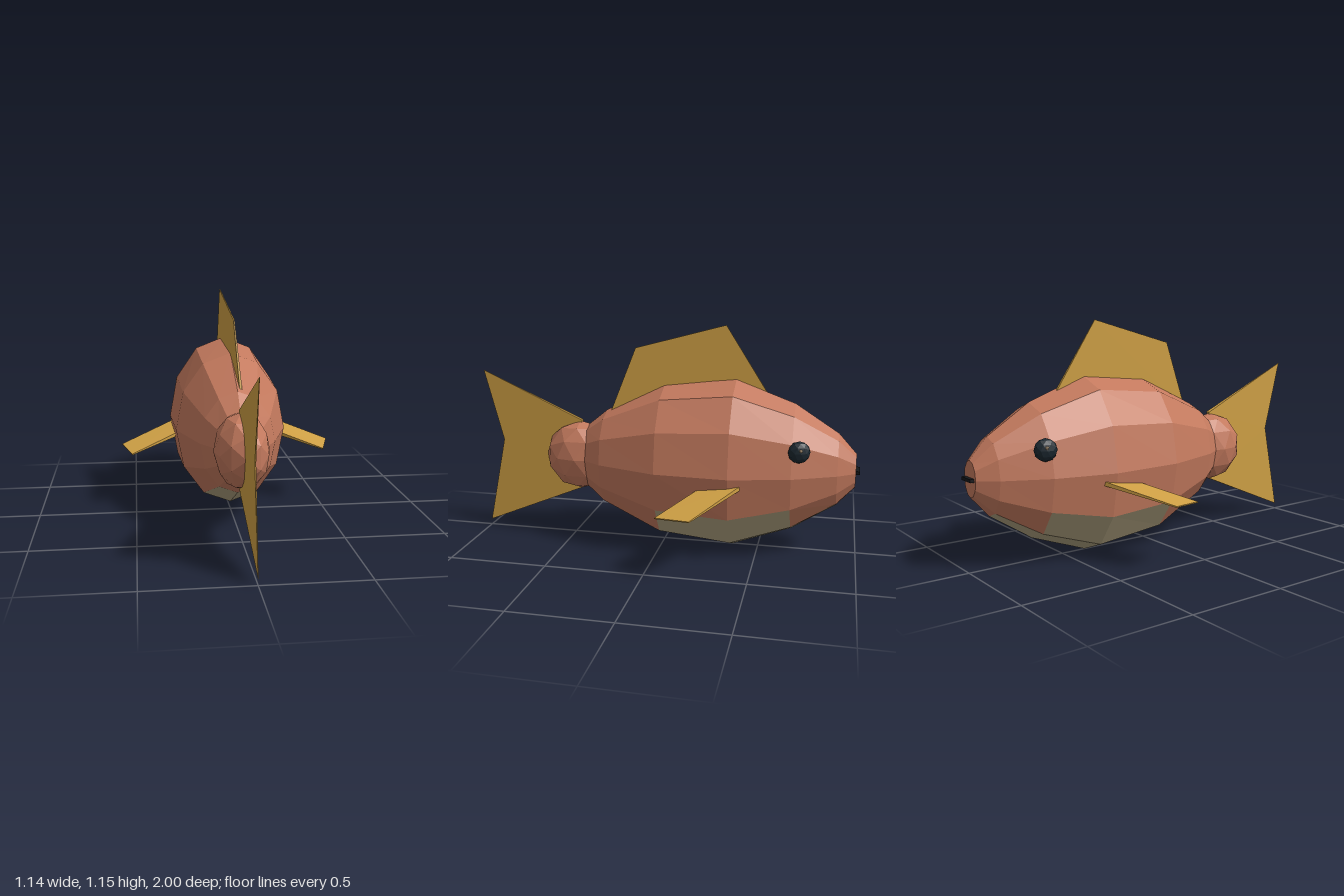
import * as THREE from 'three';

const mat = (name, color) => {
  const m = new THREE.MeshStandardMaterial({ color, flatShading: true });
  m.name = name;
  return m;
};

function meshFrom(name, tris, material) {
  const g = new THREE.BufferGeometry().setFromPoints(tris);
  g.computeVertexNormals();
  const m = new THREE.Mesh(g, material);
  m.name = name;
  return m;
}

// Thin tapered plate: points are [x, y, z, halfThickness], fanned from the first
function fin(name, data, material) {
  const pts = data.map(d => new THREE.Vector3(d[0], d[1], d[2]));
  const n = new THREE.Vector3();
  for (let i = 1; i < pts.length - 1; i++) {
    n.add(pts[i].clone().sub(pts[0]).cross(pts[i + 1].clone().sub(pts[0])));
  }
  n.normalize();
  const top = pts.map((p, i) => p.clone().addScaledVector(n, data[i][3]));
  const bot = pts.map((p, i) => p.clone().addScaledVector(n, -data[i][3]));
  const tris = [];
  for (let i = 1; i < pts.length - 1; i++) {
    tris.push(top[0], top[i], top[i + 1], bot[0], bot[i + 1], bot[i]);
  }
  pts.forEach((_, i) => {
    const j = (i + 1) % pts.length;
    tris.push(bot[i], bot[j], top[j], bot[i], top[j], top[i]);
  });
  return meshFrom(name, tris, material);
}

export function createModel() {
  const group = new THREE.Group();
  const skin = mat('coral skin', 0xc47a5e);
  const bellyMat = mat('pale belly', 0xb0a280);
  const finMat = mat('golden fin', 0xcfa045);
  const eyeMat = mat('dark eye', 0x1c2830);
  const mouthMat = mat('black mouth', 0x15171a);
  const glintMat = mat('eye glint', 0xd8b890);

  // Body: twelve-sided elliptical rings [z, half width, half height]
  const rings = [
    [-0.98, 0.06, 0.088], [-0.89, 0.125, 0.188], [-0.67, 0.228, 0.33], [-0.37, 0.3, 0.44],
    [0, 0.285, 0.4], [0.31, 0.185, 0.254], [0.41, 0.12, 0.172],
  ];
  const sides = 12, midY = 0.44;
  const point = (i, j) => {
    const a = (j / sides) * Math.PI * 2;
    const [z, rx, ry] = rings[i];
    return new THREE.Vector3(rx * Math.sin(a), midY - ry * Math.cos(a), z);
  };
  const bodyTris = [], bellyTris = [];
  const last = rings.length - 1;
  for (let j = 0; j < sides; j++) {
    const fromBottom = Math.min(j, sides - 1 - j);
    for (let i = 0; i < last; i++) {
      const pale = (fromBottom === 0 && i >= 1 && i <= 4) || (fromBottom === 1 && (i === 2 || i === 3));
      const a = point(i, j), b = point(i, j + 1), c = point(i + 1, j + 1), d = point(i + 1, j);
      (pale ? bellyTris : bodyTris).push(a, b, c, a, c, d);
    }
    bodyTris.push(new THREE.Vector3(0, midY, rings[0][0]), point(0, j + 1), point(0, j));
    bodyTris.push(new THREE.Vector3(0, midY, rings[last][0]), point(last, j), point(last, j + 1));
  }
  group.add(meshFrom('body', bodyTris, skin), meshFrom('belly', bellyTris, bellyMat));

  // Tail base
  const tailBase = new THREE.Mesh(new THREE.IcosahedronGeometry(1, 1), skin);
  tailBase.name = 'tailBase';
  tailBase.scale.set(0.135, 0.186, 0.19);
  tailBase.position.set(0, midY, 0.46);
  group.add(tailBase);

  // Tail fin, fanned from its notch
  group.add(fin('tailFin', [
    [0, 0.5, 0.9, 0.003], [0, 0.88, 1, 0.001], [0, 0.632, 0.45, 0.012],
    [0, 0.26, 0.45, 0.012], [0, 0.03, 1, 0.001],
  ], finMat));

  // Back fin, leaning slightly
  group.add(fin('backFin', [
    [0.022, 0.65, 0.3, 0.007], [0, 1.025, 0.155, 0.003],
    [-0.022, 1.15, -0.31, 0.002], [-0.01, 0.78, -0.55, 0.007],
  ], finMat));

  for (const s of [1, -1]) {
    const side = s > 0 ? 'left' : 'right';

    // Side fins
    group.add(fin(side + 'SideFin', [
      [s * 0.2, 0.415, -0.48, 0.012], [s * 0.57, 0.312, -0.235, 0.003],
      [s * 0.515, 0.298, -0.06, 0.003], [s * 0.2, 0.382, -0.27, 0.012],
    ], finMat));

    // Eyes with a small glint
    const eye = new THREE.Group();
    eye.name = side + 'Eye';
    const ball = new THREE.Mesh(new THREE.IcosahedronGeometry(0.055, 1), eyeMat);
    ball.name = 'eyeball';
    ball.scale.x = 0.68;
    const glint = new THREE.Mesh(new THREE.IcosahedronGeometry(0.009, 0), glintMat);
    glint.name = 'glint';
    glint.position.set(s * 0.032, 0.014, 0);
    eye.add(ball, glint);
    eye.position.set(s * 0.21, 0.575, -0.705);
    eye.rotation.y = s * 0.3;
    group.add(eye);
  }

  // Mouth
  const mouth = new THREE.Mesh(new THREE.BoxGeometry(0.09, 0.016, 0.02), mouthMat);
  mouth.name = 'mouth';
  mouth.position.set(0, midY, -0.99);
  group.add(mouth);

  return group;
}
